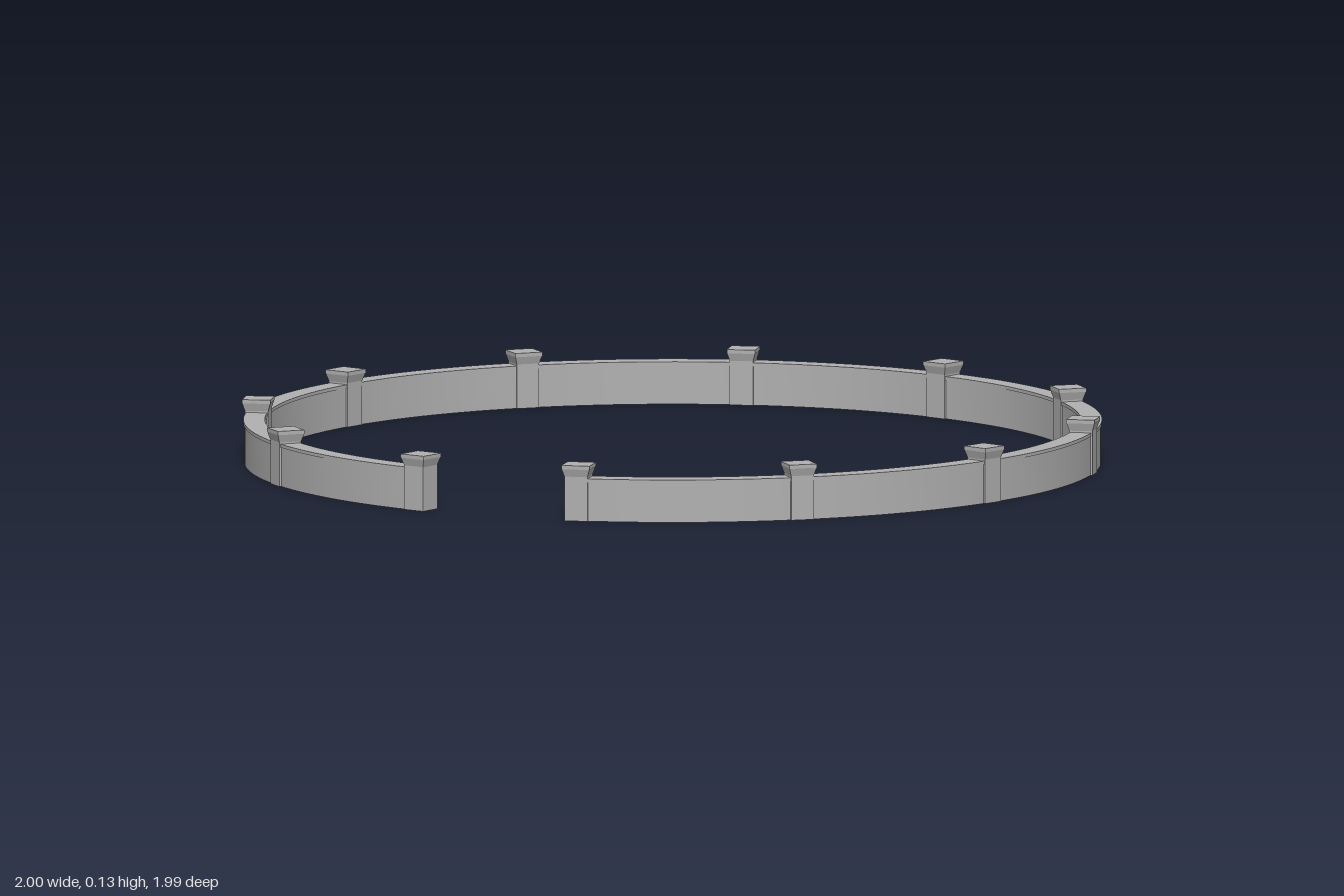
import * as THREE from 'three';
import { toCreasedNormals } from 'three/addons/utils/BufferGeometryUtils.js';

const POSTS = 12;
const GAP = THREE.MathUtils.degToRad(12); // half of the front opening
const RADIUS = 0.975; // centre line of the wall

// Open ring with a rectangular section, opening toward +z
function ringGeometry(width, height) {
  const start = GAP - Math.PI / 2;
  const end = 1.5 * Math.PI - GAP;
  const shape = new THREE.Shape();
  shape.absarc(0, 0, RADIUS + width / 2, start, end, false);
  shape.absarc(0, 0, RADIUS - width / 2, end, start, true);
  shape.closePath();
  const geometry = new THREE.ExtrudeGeometry(shape, { depth: height, bevelEnabled: false, curveSegments: 96 });
  geometry.rotateX(-Math.PI / 2);
  return toCreasedNormals(geometry, 0.5);
}

// Square block that can taper, standing on y = 0
function squareBlock(bottom, top, height) {
  const geometry = new THREE.CylinderGeometry(top * Math.SQRT1_2, bottom * Math.SQRT1_2, height, 4);
  geometry.rotateY(Math.PI / 4);
  geometry.translate(0, height / 2, 0);
  return toCreasedNormals(geometry, 0.3);
}

export function createModel() {
  const model = new THREE.Group();
  model.name = 'ringWall';
  const stone = new THREE.MeshStandardMaterial({ color: 0xb0b0b0 });
  stone.name = 'grey stone';

  const add = (parent, name, geometry, y) => {
    const mesh = new THREE.Mesh(geometry, stone);
    mesh.name = name;
    mesh.position.y = y;
    parent.add(mesh);
  };

  // Curved wall and its slightly wider coping
  add(model, 'wall', ringGeometry(0.046, 0.092), 0);
  add(model, 'coping', ringGeometry(0.05, 0.008), 0.092);

  // Evenly spaced posts with flared caps, one at each end of the wall
  const shaft = squareBlock(0.055, 0.055, 0.104);
  const flare = squareBlock(0.055, 0.066, 0.018);
  const slab = squareBlock(0.067, 0.067, 0.009);
  for (let i = 0; i < POSTS; i++) {
    const angle = GAP + (i / (POSTS - 1)) * (2 * Math.PI - 2 * GAP);
    const post = new THREE.Group();
    post.name = 'post' + (i + 1);
    post.position.set(RADIUS * Math.sin(angle), 0, RADIUS * Math.cos(angle));
    post.rotation.y = angle;
    add(post, 'shaft', shaft, 0);
    add(post, 'capFlare', flare, 0.104);
    add(post, 'capSlab', slab, 0.122);
    model.add(post);
  }

  // Centre the ring front to back
  model.children.forEach((part) => { part.position.z += 0.003; });
  return model;
}
